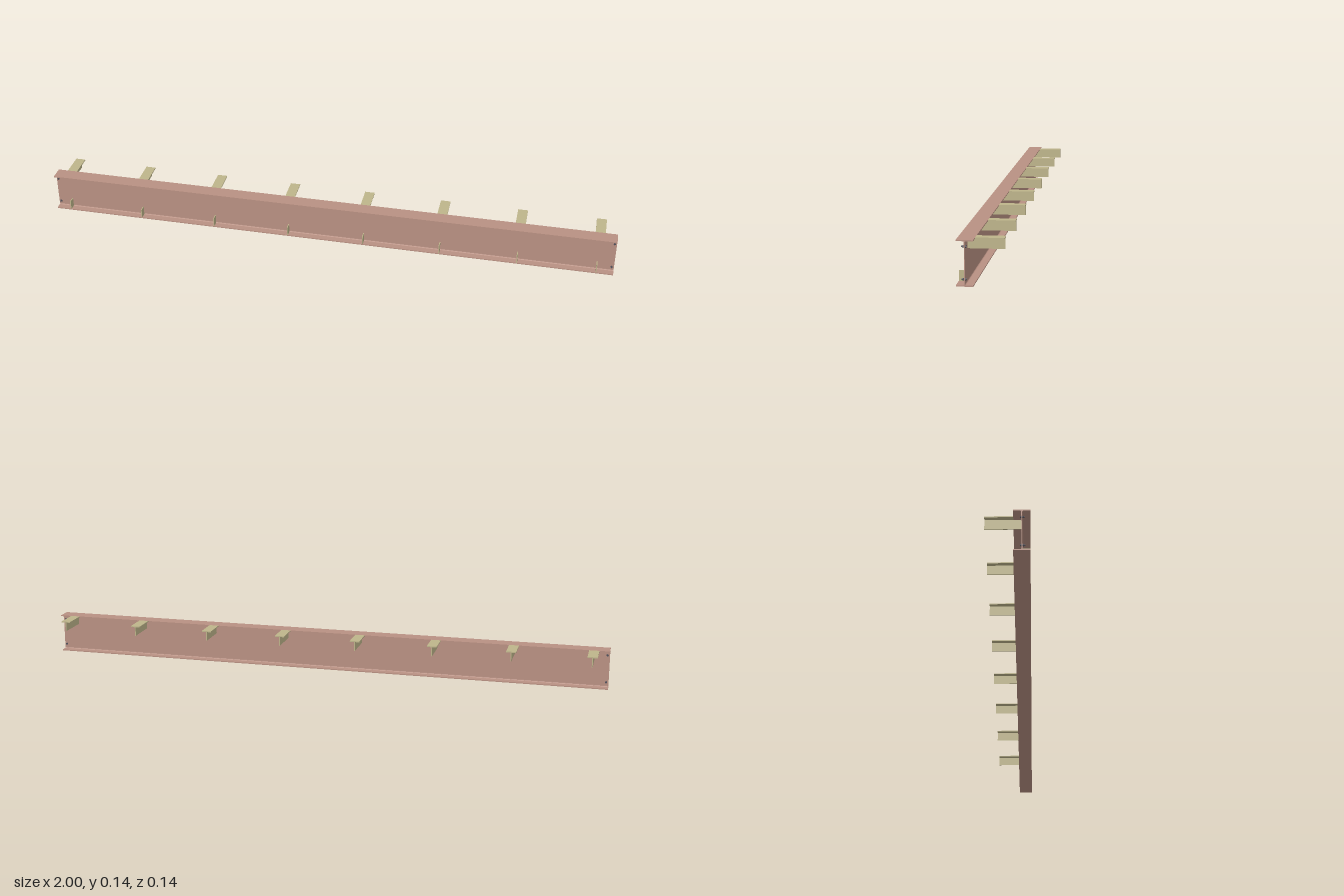
import * as THREE from 'three';

export function createModel() {
  const group = new THREE.Group();
  const steel = new THREE.MeshStandardMaterial({ color: 0xb89082 });
  const tan = new THREE.MeshStandardMaterial({ color: 0xbdb48a });
  const dark = new THREE.MeshStandardMaterial({ color: 0x50505a });

  const H = 0.135, T = 0.0035, W = 0.0013, F = 0.025; // height, flange thickness, half web, half flange
  const R = 0.004; // fillet between web and flange
  const webZ = 0.043;

  const add = (name, geometry, material, x, y, z, parent = group) => {
    const mesh = new THREE.Mesh(geometry, material);
    mesh.name = name;
    mesh.position.set(x, y, z);
    parent.add(mesh);
    return mesh;
  };

  // I-beam: filleted section extruded along x
  const s = new THREE.Shape();
  s.moveTo(-F, 0);
  s.lineTo(F, 0);
  s.lineTo(F, T);
  s.lineTo(W + R, T);
  s.quadraticCurveTo(W, T, W, T + R);
  s.lineTo(W, H - T - R);
  s.quadraticCurveTo(W, H - T, W + R, H - T);
  s.lineTo(F, H - T);
  s.lineTo(F, H);
  s.lineTo(-F, H);
  s.lineTo(-F, H - T);
  s.lineTo(-W - R, H - T);
  s.quadraticCurveTo(-W, H - T, -W, H - T - R);
  s.lineTo(-W, T + R);
  s.quadraticCurveTo(-W, T, -W - R, T);
  s.lineTo(-F, T);
  s.closePath();
  const beam = new THREE.ExtrudeGeometry(s, { depth: 2, bevelEnabled: false, curveSegments: 4 });
  beam.translate(0, 0, -1);
  beam.rotateY(Math.PI / 2);
  add('beam', beam, steel, 0, 0, webZ);

  // T-section brackets behind the beam, each with a stiffener plate in front
  const back = -0.067, flangeBack = webZ - F, webBack = webZ - W;
  const plate = new THREE.BoxGeometry(0.034, T, flangeBack - back);
  const rib = new THREE.BoxGeometry(0.003, H - T - 0.1, webBack - back);
  const stiffener = new THREE.BoxGeometry(0.003, 0.035 - T, F - W);
  for (let i = 0; i < 8; i++) {
    const bracket = new THREE.Group();
    bracket.name = 'bracket';
    bracket.position.x = -0.948 + i * 0.27;
    add('bracketPlate', plate, tan, 0, H - T / 2, (flangeBack + back) / 2, bracket);
    add('bracketRib', rib, tan, 0, (H - T + 0.1) / 2, (webBack + back) / 2, bracket);
    add('stiffener', stiffener, tan, 0, (0.035 + T) / 2, webZ + (F + W) / 2, bracket);
    group.add(bracket);
  }

  // Bolts through the web at both ends
  const shank = new THREE.CylinderGeometry(0.002, 0.002, 0.015, 12).rotateX(Math.PI / 2);
  const head = new THREE.CylinderGeometry(0.004, 0.004, 0.003, 6).rotateX(Math.PI / 2);
  for (const x of [-0.992, 0.992]) {
    for (const y of [0.02, 0.115]) {
      add('boltShank', shank, dark, x, y, 0.0455);
      add('boltHead', head, dark, x, y, 0.0475);
      add('boltNut', head, dark, x, y, 0.04);
    }
  }
  return group;
}
